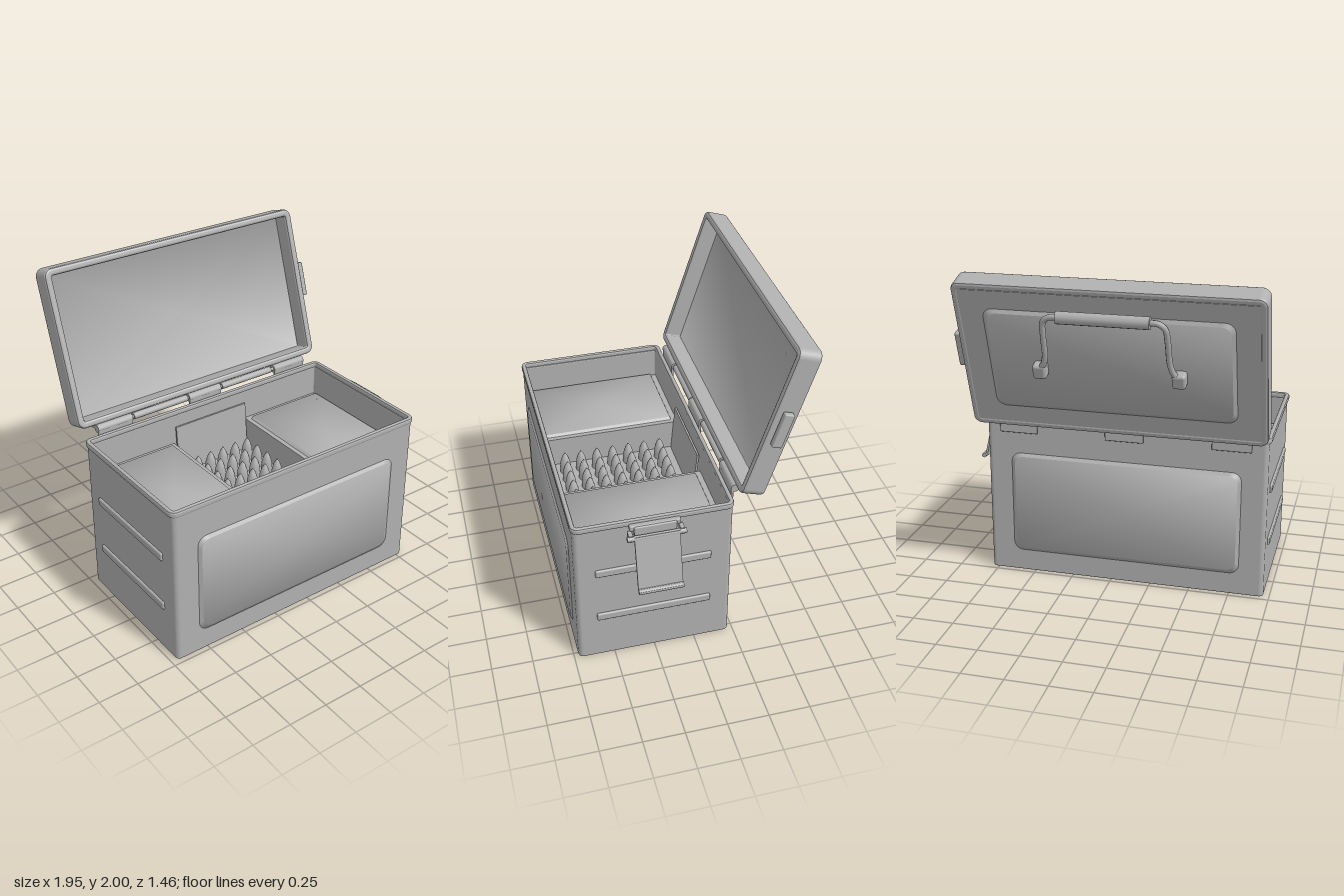
import * as THREE from 'three';
import { RoundedBoxGeometry } from 'three/addons/geometries/RoundedBoxGeometry.js';

const CX = -0.085, CZ = 0.25; // centre of the box body

export function createModel() {
  const steel = new THREE.MeshStandardMaterial({ color: 0xb0b0b0 });
  steel.name = 'steel grey';
  const root = new THREE.Group();
  root.name = 'ammunitionBox';

  function add(name, geo, x = 0, y = 0, z = 0, parent = root) {
    const m = new THREE.Mesh(geo, steel);
    m.name = name;
    m.position.set(x, y, z);
    parent.add(m);
    return m;
  }
  const box = (w, h, d) => new THREE.BoxGeometry(w, h, d);
  const soft = (w, h, d, r) => new RoundedBoxGeometry(w, h, d, 2, r);
  const rod = (r, len, n = 12) => new THREE.CylinderGeometry(r, r, len, n);

  // rounded rectangle, counter-clockwise
  function roundRect(w, h, r, S = THREE.Shape) {
    const s = new S(), a = w / 2 - r, b = h / 2 - r;
    [[a, b], [-a, b], [-a, -b], [a, -b]].forEach(([x, y], i) =>
      s.absarc(x, y, r, i * Math.PI / 2, (i + 1) * Math.PI / 2, false));
    s.closePath();
    return s;
  }

  // open rectangular frame of wall t, extruded along +z, with bevelled edges
  function frame(w, h, r, t, depth, b) {
    const s = roundRect(w - 2 * b, h - 2 * b, r - b);
    const k = 2 * t - 2 * b;
    s.holes.push(roundRect(w - k, h - k, Math.max(r - t, 0.008) + b, THREE.Path));
    const g = new THREE.ExtrudeGeometry(s, {
      depth: depth - 2 * b, bevelSize: b, bevelThickness: b, bevelSegments: 2, curveSegments: 5,
    });
    return g.translate(0, 0, b);
  }

  // pressed panel facing +z: creased sloping border and a softly shaded face
  function panel(w, h, r, border, d, tilt) {
    const pos = [], nor = [], idx = [];
    const put = (x, y, z, nx, ny) => {
      const n = new THREE.Vector3(nx, ny, 1).normalize();
      pos.push(x, y, z);
      nor.push(n.x, n.y, n.z);
    };
    const ring = roundRect(w, h, r).getPoints(5);
    const n = ring.length, a = w / 2 - r, b = h / 2 - r;
    const sx = 1 - 2 * border / w, sy = 1 - 2 * border / h;
    const lean = 0.8 * Math.sign(d) / r;
    const edge = p => [
      (p.x - THREE.MathUtils.clamp(p.x, -a, a)) * lean,
      (p.y - THREE.MathUtils.clamp(p.y, -b, b)) * lean];
    ring.forEach(p => put(p.x, p.y, 0, ...edge(p)));
    ring.forEach(p => put(p.x * sx, p.y * sy, d, ...edge(p)));
    ring.forEach(p => put(p.x * sx, p.y * sy, d, 2 * p.x / w * tilt, 2 * p.y / h * tilt));
    put(0, 0, d, 0, 0);
    for (let i = 0; i < n; i++) {
      const j = (i + 1) % n;
      idx.push(i, j, n + j, i, n + j, n + i, 2 * n + i, 2 * n + j, 3 * n);
    }
    const g = new THREE.BufferGeometry();
    g.setAttribute('position', new THREE.Float32BufferAttribute(pos, 3));
    g.setAttribute('normal', new THREE.Float32BufferAttribute(nor, 3));
    g.setIndex(idx);
    return g;
  }

  // body shell, floor and rolled rim
  add('bodyWalls', frame(1.755, 0.945, 0.03, 0.022, 1.0, 0.008).rotateX(-Math.PI / 2), CX, 0, CZ);
  add('bodyFloor', box(1.73, 0.02, 0.92), CX, 0.011, CZ);
  add('bodyRim', frame(1.78, 0.96, 0.045, 0.03, 0.04, 0.012).rotateX(-Math.PI / 2), CX, 0.99, CZ);

  // pressed panels on front and back
  for (const s of [1, -1]) {
    const p = add(s > 0 ? 'frontPanel' : 'backPanel',
      panel(1.445, 0.66, 0.06, 0.022, 0.011, 0.45), CX, 0.47, CZ + s * 0.4735);
    if (s < 0) p.rotation.y = Math.PI;
  }

  // horizontal ribs on both ends
  for (const s of [1, -1]) for (const y of [0.665, 0.32])
    add('sideRib', soft(0.026, 0.052, 0.695, 0.01), CX + s * 0.878, y, 0.253);

  // side compartments with domed tops, and the central holder
  for (const s of [1, -1]) {
    add('sideCompartment', box(0.58, 0.78, 0.9), CX + s * 0.563, 0.41, CZ);
    add('compartmentLid', panel(0.545, 0.85, 0.01, 0.008, 0.02, 0.5).rotateX(-Math.PI / 2),
      CX + s * 0.575, 0.8, 0.258);
    const plate = add('holderEndPlate', box(0.53, 0.36, 0.012), CX, 0.74, CZ + 0.01 + s * 0.433);
    plate.rotation.x = s * 0.08;
  }
  add('holderFloor', box(0.56, 0.58, 0.9), CX, 0.31, CZ);

  // rows of cartridges
  const ogive = [[0.036, 0], [0.036, 0.05], [0.031, 0.09], [0.019, 0.125], [0, 0.155]]
    .map(([x, y]) => new THREE.Vector2(x, y));
  const cartridge = new THREE.LatheGeometry(ogive, 9);
  for (let i = 0; i < 5; i++) for (let j = 0; j < 7; j++)
    add('cartridge', cartridge, CX + (i - 2) * 0.095, 0.595, 0.258 + (j - 3) * 0.105);

  // hinge: body knuckles with leaves, lid knuckles between them
  for (const x of [-0.745, -0.09, 0.58]) {
    add('hingeKnuckle', rod(0.026, 0.24).rotateZ(Math.PI / 2), x, 1.053, -0.258);
    add('hingeLeaf', soft(0.24, 0.11, 0.016, 0.006), x, 0.995, -0.241);
    const l = add('lidHingeLeaf', box(0.24, 0.014, 0.06), x, 1.055, -0.285);
    l.rotation.x = -0.31;
  }
  for (const x of [-0.415, 0.24])
    add('lidKnuckle', rod(0.021, 0.39).rotateZ(Math.PI / 2), x, 1.055, -0.258);
  add('hingePin', rod(0.012, 1.56).rotateZ(Math.PI / 2), CX, 1.053, -0.258);

  // open lid, built upright with its cavity facing +z
  const lid = new THREE.Group();
  lid.name = 'lid';
  lid.position.set(CX, 1.08, -0.255);
  lid.rotation.x = -0.31;
  root.add(lid);
  add('lidWalls', frame(1.785, 0.968, 0.05, 0.045, 0.142, 0.015), 0, 0.483, -0.142, lid);
  add('lidTop', box(1.71, 0.89, 0.026), 0, 0.483, -0.129, lid);
  add('lidLining', panel(1.7, 0.882, 0.012, 0.006, -0.001, -0.5), 0, 0.483, -0.112, lid);
  add('lidPanel', panel(1.44, 0.66, 0.06, 0.022, 0.012, 0.35), 0, 0.483, -0.1425, lid).rotation.y = Math.PI;
  add('lidCatch', soft(0.038, 0.22, 0.062, 0.008), 0.923, 0.49, -0.063, lid);
  add('lidCatchMount', box(0.03, 0.12, 0.04), 0.9, 0.49, -0.063, lid);

  // carrying handle on the lid
  const handle = new THREE.Group();
  handle.name = 'carryingHandle';
  handle.position.z = -0.006;
  lid.add(handle);
  add('handleGrip', rod(0.037, 0.53, 10).rotateZ(Math.PI / 2), 0, 0.818, -0.194, handle);
  for (const s of [1, -1]) {
    const path = new THREE.CatmullRomCurve3([
      [0.24, 0.818], [0.31, 0.815], [0.345, 0.785], [0.355, 0.7], [0.36, 0.56], [0.375, 0.505], [0.405, 0.46],
    ].map(([x, y]) => new THREE.Vector3(s * x, y, -0.192)));
    add('handleArm', new THREE.TubeGeometry(path, 28, 0.018, 8), 0, 0, 0, handle);
    add('handleFoot', soft(0.08, 0.09, 0.075, 0.018), s * 0.405, 0.45, -0.174, handle);
  }

  // latch on the left end
  const latch = new THREE.Group();
  latch.name = 'latch';
  root.add(latch);
  add('latchMount', soft(0.045, 0.105, 0.25, 0.008), 0.818, 0.953, 0.25, latch);
  add('latchTopPlate', soft(0.04, 0.036, 0.3, 0.008), 0.812, 0.992, 0.25, latch);
  add('latchPivot', rod(0.016, 0.345, 10).rotateX(Math.PI / 2), 0.861, 0.947, 0.25, latch);
  for (const s of [1, -1])
    add('latchArm', box(0.05, 0.045, 0.025), 0.838, 0.945, 0.25 + s * 0.15, latch);
  const flap = add('latchFlap', box(0.014, 0.335, 0.265), 0.904, 0.797, 0.25, latch);
  flap.rotation.z = 0.232;
  const lip = add('latchLip', box(0.04, 0.014, 0.265), 0.952, 0.63, 0.25, latch);
  lip.rotation.z = -0.2;
  add('latchCurl', rod(0.015, 0.265, 10).rotateX(Math.PI / 2), 0.961, 0.624, 0.25, latch);

  return root;
}
